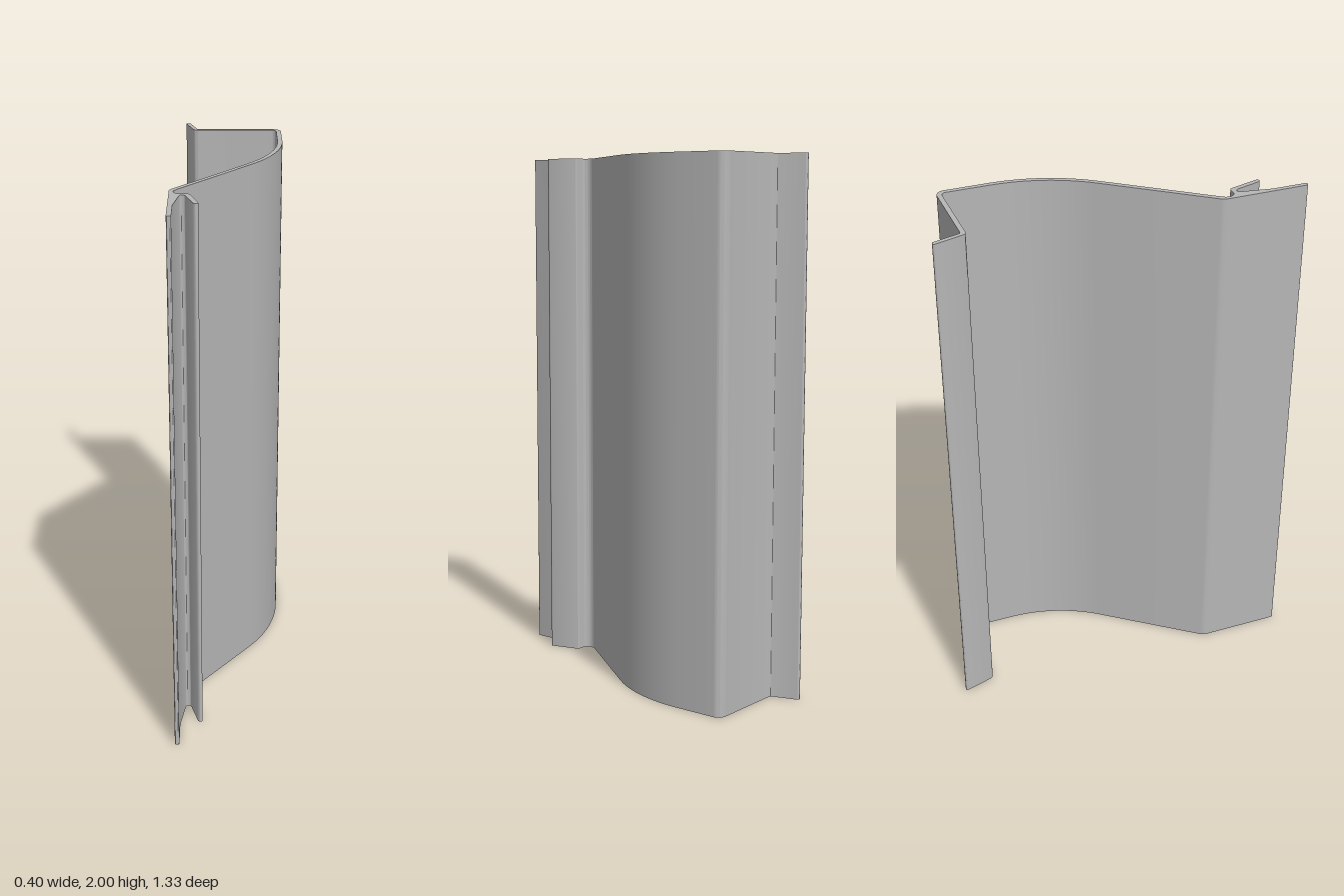
import * as THREE from 'three';
import { toCreasedNormals } from 'three/addons/utils/BufferGeometryUtils.js';

const HEIGHT = 2;
const WALL = 0.018;

// Cross-section drawn in plan (x, z); shape y is -z
function profileShape() {
  const s = new THREE.Shape();
  const line = (x, z) => s.lineTo(x, -z);
  const bend = (cx, cz, x, z) => s.quadraticCurveTo(cx, -cz, x, -z);

  // Large arc, tangent to the straight rear wall and to the sloping web
  const R = 0.61, ax = 0.201 - R, az = -0.366, sweep = 0.641;

  // Rear lip, outer side
  s.moveTo(-0.166, 0.658);
  bend(-0.167, -0.665, -0.157, -0.665);
  bend(-0.151, -0.665, -0.149, -0.659);
  line(-0.123, -0.567);
  bend(-0.121, -0.56, -0.114, -0.56);

  // Rear shelf and its rounded corner
  line(0.166, -0.56);
  s.absarc(0.166, 0.525, 0.035, Math.PI / 2, 0, true);

  // Outer face: rear wall, arc, sloping web
  line(0.201, az);
  s.absarc(ax, -az, R, 0, -sweep, true);
  line(-0.178, 0.345);

  // Concave fillet into the hook
  bend(-0.193, 0.364, -0.186, 0.381);
  bend(-0.18, 0.396, -0.165, 0.396);

  // Hook
  line(-0.144, 0.396);
  bend(-0.135, 0.396, -0.132, 0.406);
  line(-0.103, 0.508);
  bend(-0.101, 0.518, -0.109, 0.52);
  bend(-0.117, 0.521, -0.12, 0.513);
  line(-0.146, 0.423);
  bend(-0.149, 0.414, -0.157, 0.414);
  bend(-0.166, 0.414, -0.168, 0.425);

  // Tapered flange
  line(-0.186, 0.54);
  line(-0.186, 0.657);
  bend(-0.186, 0.665, -0.194, 0.665);
  bend(-0.203, 0.665, -0.203, 0.657);
  line(-0.203, 0.362);
  bend(-0.203, 0.347, -0.194, 0.335);

  // Inner face: web, arc, rear wall, shelf
  line(ax + (R - WALL) * Math.cos(sweep), az + (R - WALL) * Math.sin(sweep));
  s.absarc(ax, -az, R - WALL, -sweep, 0, false);
  line(0.183, -0.525);
  s.absarc(0.166, 0.525, 0.017, 0, Math.PI / 2, false);
  line(-0.115, -0.542);
  bend(-0.132, -0.542, -0.137, -0.557);
  line(-0.166, -0.658);
  return s;
}

export function createModel() {
  const metal = new THREE.MeshStandardMaterial({ color: 0xb6b6b6 });
  metal.name = 'greyMetal';

  // Constant section extruded upward
  const raw = new THREE.ExtrudeGeometry(profileShape(), {
    depth: HEIGHT, bevelEnabled: false, curveSegments: 12,
  });
  raw.rotateX(-Math.PI / 2);

  const strip = new THREE.Mesh(toCreasedNormals(raw, 0.6), metal);
  strip.name = 'extrudedProfile';

  const group = new THREE.Group();
  group.name = 'trimProfile';
  group.add(strip);
  return group;
}
